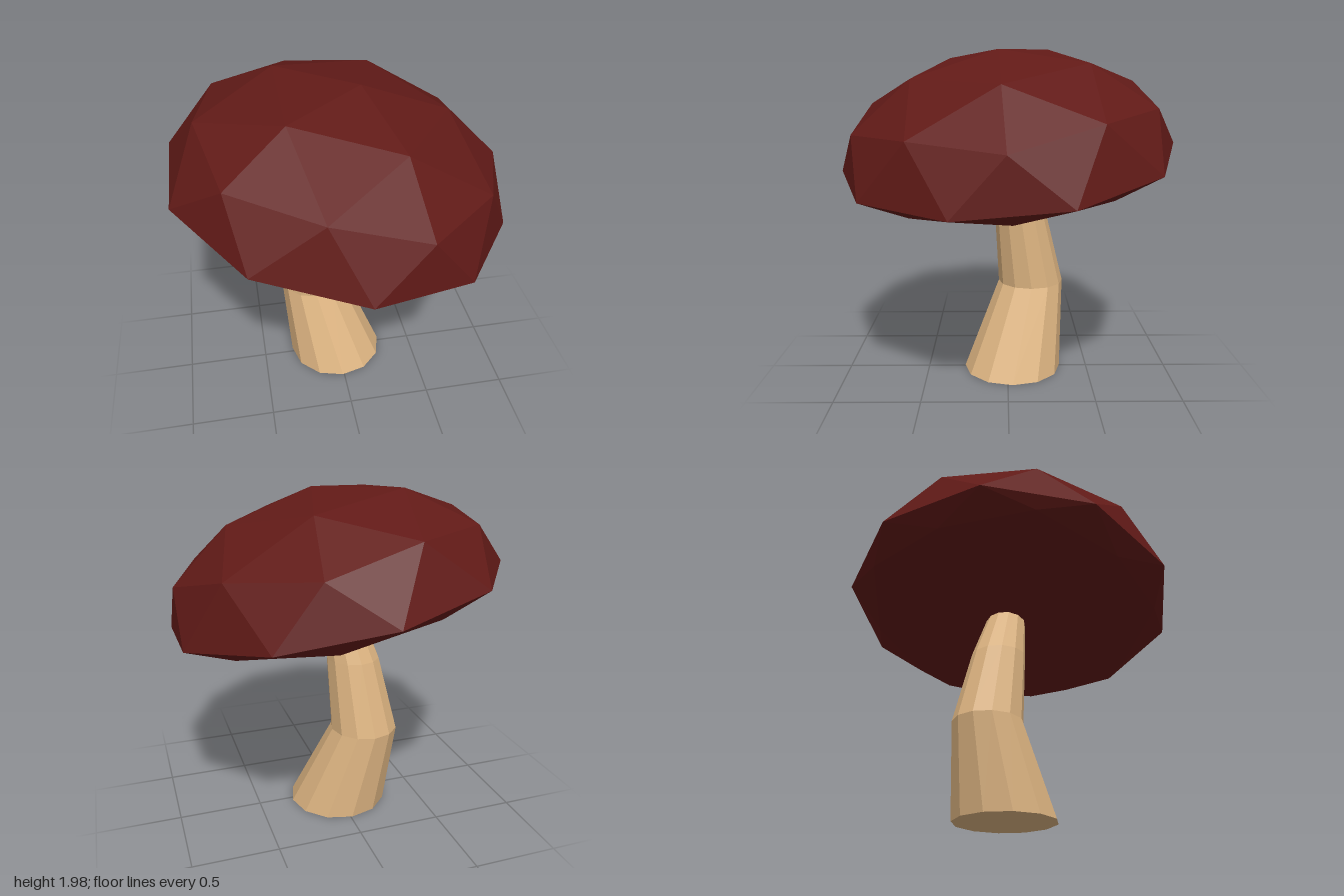
import * as THREE from 'three';

const flat = (name, geometry, color) => {
  const g = geometry.index ? geometry.toNonIndexed() : geometry;
  g.computeVertexNormals();
  const mesh = new THREE.Mesh(g, new THREE.MeshStandardMaterial({ color, flatShading: true }));
  mesh.name = name;
  return mesh;
};

// Faceted dome: an icosphere standing on a vertex, squashed, with a nearly flat underside
function makeCap() {
  const g = new THREE.IcosahedronGeometry(1, 1);
  g.rotateZ(-Math.atan(2 / (1 + Math.sqrt(5))));
  const p = g.attributes.position;
  // depth of the underside rings, by their height on the sphere
  const underside = (h) => (h < 0.01 ? 0 : h < 0.48 ? 0.055 : h < 0.6 ? 0.09 : h < 0.9 ? 0.12 : 0.13);
  for (let i = 0; i < p.count; i++) {
    const y = p.getY(i);
    p.setY(i, y > 0 ? y * 0.64 : -underside(-y));
  }
  const cap = flat('cap', g, 0x611a17);
  cap.position.y = 1.345;
  cap.rotation.set(0.085, 0, -0.184);
  return cap;
}

// Bent, tapering stem: each ring is [x, y, z, radius], from top to base
function makeStem() {
  const rings = [
    [-0.02, 1.3, -0.02, 0.11],
    [-0.09, 0.97, -0.083, 0.16],
    [-0.142, 0.53, -0.148, 0.203],
    [-0.01, 0, -0.03, 0.3],
  ];
  const n = rings.length - 1;
  const g = new THREE.CylinderGeometry(1, 1, 1, 12, n);
  const p = g.attributes.position;
  for (let i = 0; i < p.count; i++) {
    const [x, y, z, r] = rings[Math.round((0.5 - p.getY(i)) * n)];
    p.setXYZ(i, x + p.getX(i) * r, y, z + p.getZ(i) * r);
  }
  return flat('stem', g, 0xdeb582);
}

export function createModel() {
  const mushroom = new THREE.Group();
  mushroom.name = 'mushroom';
  mushroom.add(makeStem(), makeCap());
  return mushroom;
}
